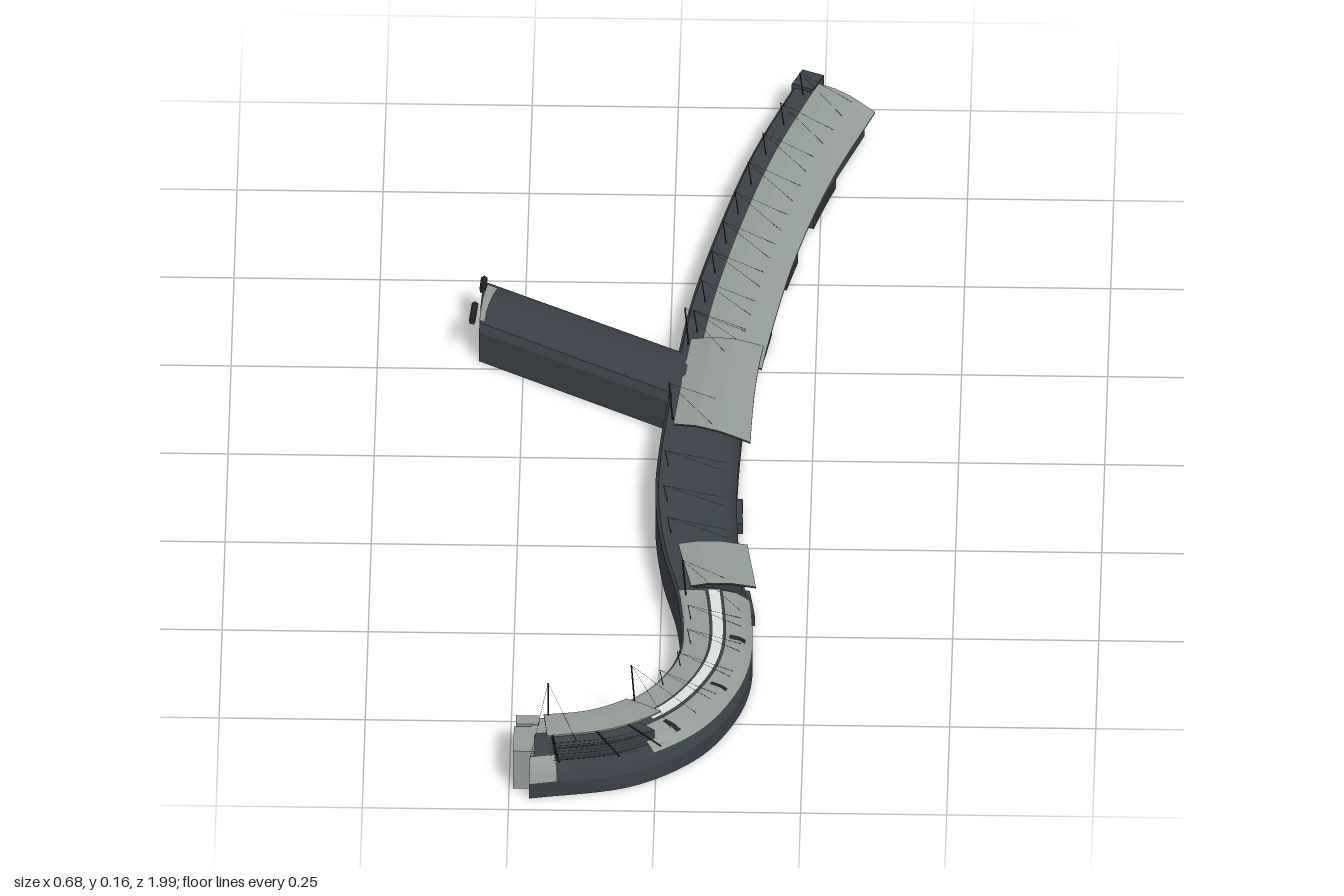
import * as THREE from 'three';

const mat = (name, color, side = THREE.FrontSide) => {
  const m = new THREE.MeshStandardMaterial({ color, side });
  m.name = name;
  return m;
};
const wall = mat('slate wall', 0x3a4047);
const roofGrey = mat('roof grey', 0x939b97, THREE.DoubleSide);
const pale = mat('pale skylight', 0xdde1dd, THREE.DoubleSide);
const glass = mat('dark glazing', 0x2a3026);
const dark = mat('dark metal', 0x23272a, THREE.DoubleSide);
const base = mat('pale underside', 0xe6e4e4);

// A building wing lies between two plan rails of [x, z] points; t runs along it, u across it
const rail = pts => new THREE.CatmullRomCurve3(pts.map(([x, z]) => new THREE.Vector3(x, 0, z)));
const wing = (left, right) => {
  const L = rail(left), R = rail(right);
  return (t, u, y) => {
    const s = THREE.MathUtils.clamp(t, 0, 1);
    return L.getPoint(s).lerp(R.getPoint(s), u).setY(y);
  };
};
const spine = wing(
  [[0.205, -0.985], [0.13, -0.77], [0.075, -0.55], [0.035, -0.35], [0.01, -0.15], [-0.01, 0.05], [-0.015, 0.2],
    [0, 0.35], [0.03, 0.5], [0.035, 0.64], [0.005, 0.72], [-0.05, 0.785], [-0.12, 0.825], [-0.212, 0.84]],
  [[0.32, -0.925], [0.25, -0.73], [0.195, -0.52], [0.16, -0.33], [0.135, -0.14], [0.125, 0.05], [0.125, 0.2],
    [0.135, 0.35], [0.155, 0.5], [0.157, 0.65], [0.13, 0.75], [0.07, 0.85], [-0.04, 0.93], [-0.215, 0.968]]);
const arm = wing([[-0.326, -0.272], [0.03, -0.065]], [[-0.32, -0.405], [0.05, -0.195]]);

// Spine parameter at a given z of its centre line
const tAt = z => {
  let a = 0, b = 1;
  for (let i = 0; i < 30; i++) {
    const m = (a + b) / 2;
    if (spine(m, 0.5, 0).z < z) a = m; else b = m;
  }
  return a;
};

// Sweep a profile of [u, y] points along a wing, with optional end caps
function sweep(path, t0, t1, profile, capped = false) {
  const n = Math.max(2, Math.ceil((t1 - t0) * 80)), pos = [], idx = [];
  const put = (t, [u, y]) => pos.push(...path(t, u, y).toArray());
  for (let k = 0; k < profile.length - 1; k++) {
    const s = pos.length / 3;
    for (let i = 0; i <= n; i++) {
      const t = t0 + (t1 - t0) * i / n;
      put(t, profile[k]);
      put(t, profile[k + 1]);
      const a = s + 2 * i;
      if (i < n) idx.push(a, a + 2, a + 1, a + 1, a + 2, a + 3);
    }
  }
  if (capped) [t0, t1].forEach((t, end) => {
    const s = pos.length / 3;
    put(t, [0.5 * (profile[0][0] + profile.at(-1)[0]), profile[0][1]]);
    profile.forEach(p => put(t, p));
    for (let k = 1; k < profile.length; k++) idx.push(s, s + k + (end ? 1 : 0), s + k + (end ? 0 : 1));
  });
  const g = new THREE.BufferGeometry();
  g.setAttribute('position', new THREE.Float32BufferAttribute(pos, 3));
  g.setIndex(idx);
  g.computeVertexNormals();
  return g;
}

export function createModel() {
  const model = new THREE.Group();
  model.name = 'terminal';
  const add = (name, geo, m) => {
    const mesh = new THREE.Mesh(geo, m);
    mesh.name = name;
    model.add(mesh);
    return mesh;
  };
  const box = (name, m, w, h, d, x, y, z, ry = 0) => {
    const b = add(name, new THREE.BoxGeometry(w, h, d), m);
    b.position.set(x, y, z);
    b.rotation.y = ry;
  };
  const rod = (name, a, b, r) => {
    const c = add(name, new THREE.CylinderGeometry(r, r, a.distanceTo(b), 5), dark);
    c.position.copy(a).lerp(b, 0.5);
    c.quaternion.setFromUnitVectors(new THREE.Vector3(0, 1, 0), b.clone().sub(a).normalize());
  };
  // Roof sheet with a dark soffit just below; skew lengthens the outer edge southward
  const canopy = (name, t0, t1, profile, skew = 0) => {
    const path = (t, u, y) => spine(t + skew * u * (t - t0) / (t1 - t0), u, y);
    add(name, sweep(path, t0, t1, profile), roofGrey);
    const low = profile.map(([u, y]) => [u, y - 0.003]).reverse();
    add(name + 'Soffit', sweep(path, t0, t1, low), dark);
    for (const [u, y] of [profile[0], profile.at(-1)])
      add(name + 'Edge', sweep(path, t0, t1, [[u, y - 0.003], [u, y]]), roofGrey);
  };

  // Main curved hall
  add('hall', sweep(spine, 0, 1, [[0, 0], [0, 0.072], [0.04, 0.077], [0.5, 0.077], [0.8, 0.069],
    [0.88, 0.06], [0.95, 0.046], [1, 0.03], [1, 0]], true), wall);
  add('hallFloor', sweep(spine, 0, 1, [[1, 0], [0, 0]]), base);

  // Barrel-roofed side wing
  add('sideWing', sweep(arm, 0, 1, [[0, 0], [0, 0.062], [0.06, 0.077], [0.2, 0.086], [0.4, 0.09], [0.6, 0.09],
    [0.8, 0.086], [0.94, 0.077], [1, 0.062], [1, 0]], true), wall);
  add('sideWingFloor', sweep(arm, 0, 1, [[1, 0], [0, 0]]), base);
  const slant = (t, u, y) => arm(t + 0.12 * u, u, y);
  add('sideWingRoofPatch', sweep(slant, 0.01, 0.1, [[0.08, 0.081], [0.2, 0.088], [0.4, 0.092], [0.6, 0.092],
    [0.8, 0.088]]), roofGrey);
  rod('wingEndRoll', arm(0, 0.02, 0.082).setX(-0.338), arm(0, 0.4, 0.082).setX(-0.334), 0.006);
  rod('wingEndRoll', arm(0.03, 0.62, 0.09), arm(0.03, 0.95, 0.082), 0.006);

  // North roof, sloping out past the hall
  canopy('northRoof', 0, tAt(-0.19), [[0.3, 0.08], [0.55, 0.081], [0.8, 0.076], [1, 0.067], [1.16, 0.059]]);

  // Raised arched roofs over the crossings
  canopy('crossingRoof', tAt(-0.22), tAt(0.01),
    [[0.15, 0.089], [0.45, 0.097], [0.75, 0.097], [1, 0.091], [1.15, 0.086]], 0.02);
  canopy('southCrossingRoof', tAt(0.355), tAt(0.475), [[0.2, 0.088], [0.45, 0.094], [0.75, 0.094], [1.08, 0.087]]);
  for (const [a, b] of [[-0.2, 0], [0.365, 0.465]])
    add('clerestory', sweep(spine, tAt(a), tAt(b), [[0.25, 0.075], [0.25, 0.088], [0.9, 0.088], [0.9, 0.055]], true), wall);

  // South roof in bands with a skylight
  const tSouth = tAt(0.475);
  add('southInnerRoof', sweep(spine, tSouth, 1, [[0.04, 0.078], [0.08, 0.08], [0.4, 0.08]]), roofGrey);
  add('southSkylight', sweep(spine, tSouth, 0.87, [[0.43, 0.082], [0.59, 0.082]]), pale);
  add('southOuterRoof', sweep(spine, tSouth, 0.9, [[0.62, 0.08], [0.82, 0.074], [0.93, 0.065], [1, 0.057]]), roofGrey);
  for (const z of [0.6, 0.73, 0.83]) {
    const t = tAt(z);
    add('roofVent', sweep(spine, t, t + 0.006, [[0.68, 0.08], [0.82, 0.076], [0.9, 0.07]]), dark);
  }

  // South end roof and slatted shade
  canopy('southEndRoof', 0.86, 0.985, [[0.08, 0.09], [0.3, 0.093], [0.6, 0.093]]);
  add('southEndStorey', sweep(spine, 0.89, 0.98, [[0.12, 0.075], [0.12, 0.089], [0.85, 0.089], [0.85, 0.06]], true), wall);
  for (let i = 0; i < 7; i++) {
    const u = 0.8 + i * 0.066;
    add('shadeSlat', sweep(spine, 0.9, 0.985, [[u, 0.094], [u + 0.025, 0.097]]), i % 2 ? roofGrey : dark);
  }
  for (const t of [0.905, 0.94, 0.98]) rod('shadeBeam', spine(t, 0.6, 0.092), spine(t, 1.22, 0.092), 0.0015);

  // End blocks and the pale panel on the south end's outer slope
  box('southEndBlock', roofGrey, 0.036, 0.08, 0.07, -0.225, 0.04, 0.905);
  box('southEndPier', roofGrey, 0.04, 0.082, 0.025, -0.22, 0.041, 0.853);
  add('southEndPanel', sweep(spine, 0.98, 1, [[0.81, 0.07], [0.89, 0.062], [0.96, 0.048], [1.01, 0.032]]), roofGrey);
  box('northEndBlock', wall, 0.04, 0.084, 0.045, 0.222, 0.042, -0.972, -0.4);

  // Ground-level lounges along the outer side
  for (const [a, b] of [[0.4, 0.47], [0.28, 0.35], [0.14, 0.21], [-0.37, -0.3], [-0.58, -0.5], [-0.8, -0.68]]) {
    add('lounge', sweep(spine, tAt(a), tAt(b), [[0.95, 0], [0.95, 0.024], [1.07, 0.022], [1.07, 0]], true), wall);
    add('loungeWindow', sweep(spine, tAt(a + 0.01), tAt(b - 0.01), [[1.073, 0.019], [1.073, 0.004]]), glass);
  }

  // Masts with stay cables
  const mast = (z, u, top, r, reach) => {
    const t = tAt(z), tip = spine(t, u - 0.05, top);
    rod('mast', spine(t, u, 0.074), tip, r);
    for (const d of [-reach, reach]) rod('stay', tip, spine(t + d, 0.85, 0.076), 0.00025);
  };
  for (let i = 0; i < 9; i++) mast(-0.92 + i * 0.083, 0.2, 0.123, 0.0009, 0.008);
  for (const z of [0.12, 0.22, 0.31, 0.56, 0.63, 0.7, 0.76]) mast(z, 0.15, 0.11, 0.0007, 0.006);
  for (const z of [-0.22, -0.01, 0.49, 0.82, 0.898]) mast(z, 0.12, 0.155, 0.0014, 0.02);

  return model;
}
